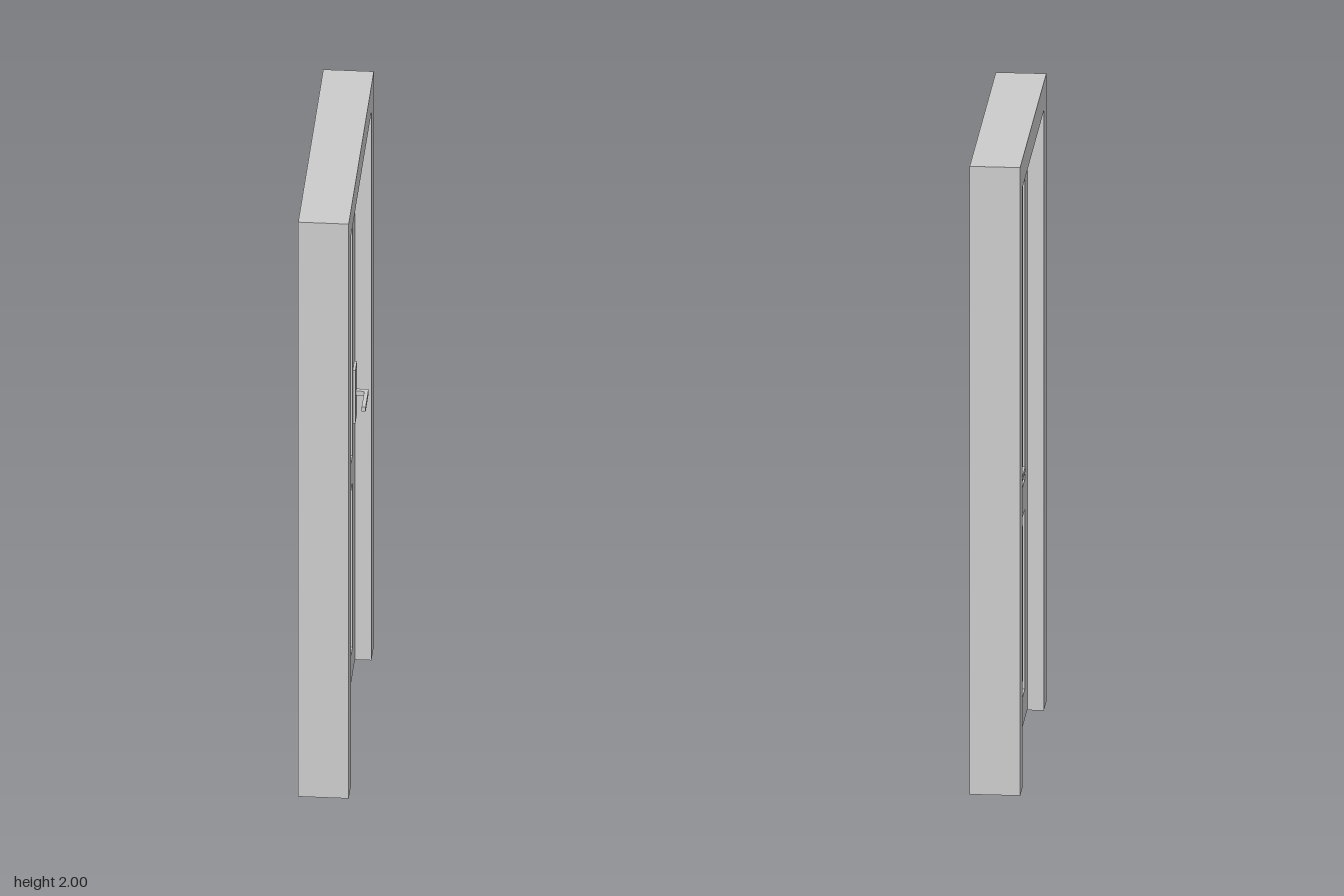
import * as THREE from 'three';

const W = 0.475, H = 2, D = 0.154;           // frame half width, height, depth
const OW = 0.385, OH = 1.91;                 // opening half width, height
const LEAF = 0.054, CORE = 0.02, FIELD = 0.05; // thicknesses: leaf, recess floor, raised field

const grey = new THREE.MeshStandardMaterial({ color: 0xcccccc, flatShading: true });

function add(parent, name, geometry, x = 0, y = 0, z = 0) {
  const mesh = new THREE.Mesh(geometry, grey);
  mesh.name = name;
  mesh.position.set(x, y, z);
  parent.add(mesh);
  return mesh;
}

function outline(points, Type = THREE.Shape) {
  return new Type(points.map(([x, y]) => new THREE.Vector2(x, y)));
}

const rect = (x0, y0, x1, y1) => [[x0, y0], [x1, y0], [x1, y1], [x0, y1]];

// Extrusion centred on its depth
function slab(shape, depth) {
  return new THREE.ExtrudeGeometry(shape, { depth, bevelEnabled: false }).translate(0, 0, -depth / 2);
}

export function createModel() {
  const model = new THREE.Group();
  model.name = 'door';

  // Built facing z, then turned so the faces look along x
  const door = new THREE.Group();
  door.name = 'doorAssembly';
  door.rotation.y = Math.PI / 2;
  model.add(door);

  // Frame: two jambs and a head in one piece
  add(door, 'frame', slab(outline([
    [-W, 0], [-OW, 0], [-OW, OH], [OW, OH], [OW, 0], [W, 0], [W, H], [-W, H],
  ]), D));

  // Leaf with four panel openings
  const leaf = outline(rect(-OW, 0.003, OW, OH));
  const panels = [];
  for (const side of [-1, 1]) {
    for (const [y0, y1] of [[0.097, 0.67], [0.765, 1.815]]) {
      panels.push({ x: side * 0.1665, y: (y0 + y1) / 2, w: 0.245, h: y1 - y0 });
    }
  }
  for (const { x, y, w, h } of panels) {
    leaf.holes.push(outline(rect(x - w / 2, y - h / 2, x + w / 2, y + h / 2), THREE.Path));
  }
  add(door, 'leaf', slab(leaf, LEAF));

  // Recess floor and raised field of each panel
  for (const { x, y, w, h } of panels) {
    add(door, 'panelRecess', new THREE.BoxGeometry(w, h, CORE), x, y);
    add(door, 'panelField', new THREE.BoxGeometry(w - 0.08, h - 0.08, FIELD), x, y);
  }

  // Plate, spindle and lever on both faces
  for (const side of [-1, 1]) {
    const handle = new THREE.Group();
    handle.name = 'handle';
    add(handle, 'plate', new THREE.BoxGeometry(0.06, 0.185, 0.008), 0.33, 0.962, side * 0.031);
    add(handle, 'spindle', new THREE.BoxGeometry(0.015, 0.015, 0.032), 0.332, 0.962, side * 0.048);
    add(handle, 'lever', new THREE.BoxGeometry(0.113, 0.016, 0.012), 0.283, 0.962, side * 0.066);
    door.add(handle);
  }

  return model;
}
